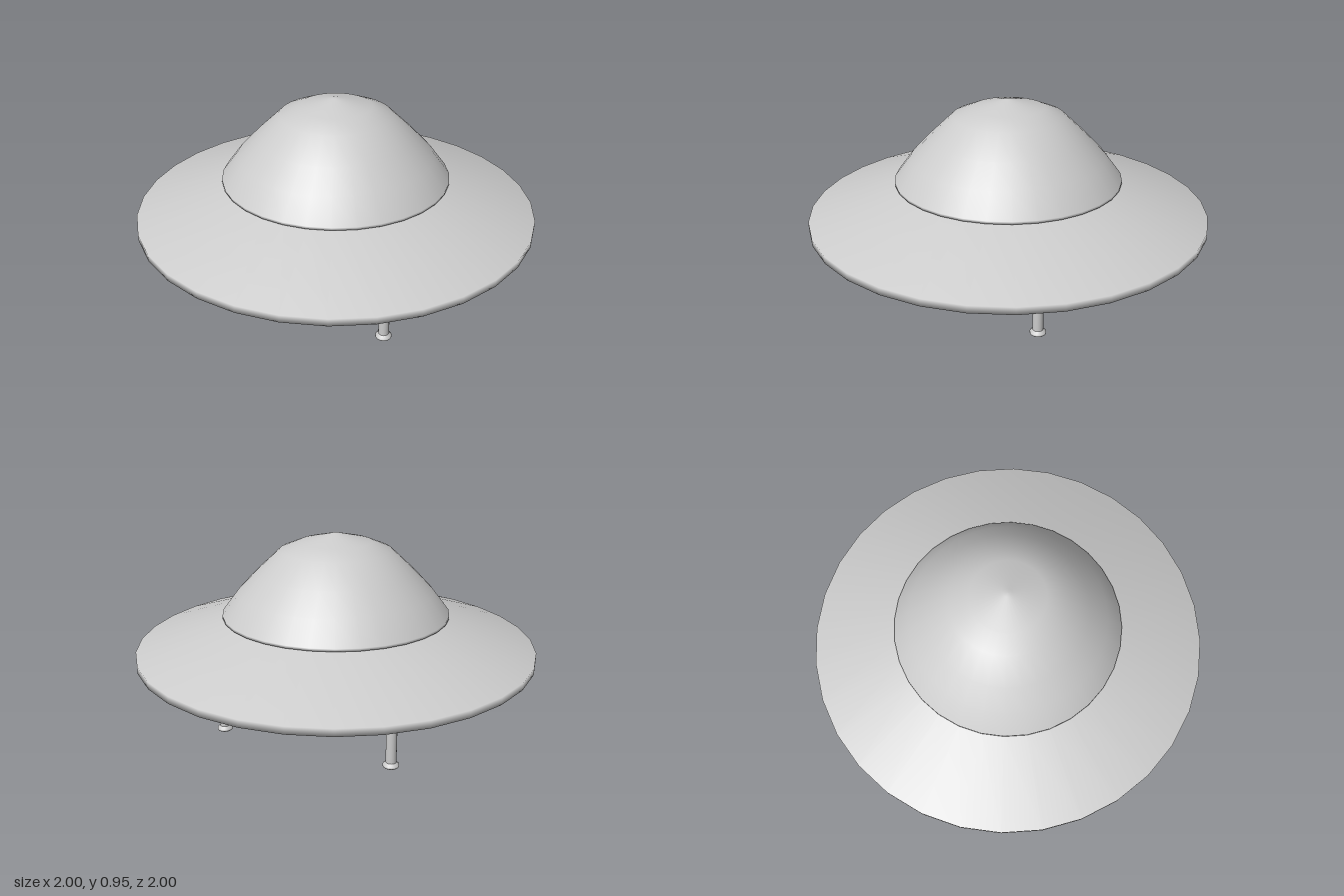
import * as THREE from 'three';

const SIDES = 32;
const points = (list) => list.map(([r, y]) => new THREE.Vector2(r, y));

export function createModel() {
  const group = new THREE.Group();
  group.name = 'flyingSaucer';
  const material = new THREE.MeshStandardMaterial({ color: 0xcccccc, side: THREE.DoubleSide });

  const add = (name, geometry, parent = group) => {
    const mesh = new THREE.Mesh(geometry, material);
    mesh.name = name;
    parent.add(mesh);
    return mesh;
  };

  // Saucer hull: flat belly, sloping underside, thin rim, sloping deck
  add('hull', new THREE.LatheGeometry(points([
    [0, 0.18], [0.505, 0.18], [1, 0.362], [1, 0.397], [0.56, 0.545],
  ]), SIDES));

  // Domed cabin with a short lip where it meets the deck
  add('dome', new THREE.LatheGeometry(points([
    [0.54, 0.545], [0.57, 0.547], [0.57, 0.56], [0.487, 0.668], [0.39, 0.768],
    [0.278, 0.873], [0.18, 0.913], [0.02, 0.952], [0, 0.953],
  ]), SIDES));

  // Leg: vertical post that bends inward into the underside (outward is local +x)
  const path = new THREE.CurvePath();
  const bottom = new THREE.Vector3(0, 0.015, 0);
  const bendStart = new THREE.Vector3(0, 0.175, 0);
  const bendEnd = new THREE.Vector3(-0.04, 0.222, 0);
  path.add(new THREE.LineCurve3(bottom, bendStart));
  path.add(new THREE.QuadraticBezierCurve3(bendStart, new THREE.Vector3(0, 0.21, 0), bendEnd));
  path.add(new THREE.LineCurve3(bendEnd, new THREE.Vector3(-0.1, 0.25, 0)));
  const post = new THREE.TubeGeometry(path, 20, 0.025, 16);

  // Foot: flared pad
  const foot = new THREE.LatheGeometry(points([
    [0, 0], [0.034, 0], [0.038, 0.004], [0.038, 0.012], [0.025, 0.024],
  ]), 16);

  const legs = [
    ['leftLeg', 0.6, 0, 0],
    ['rightLeg', -0.615, -0.015, Math.PI],
    ['frontLeg', -0.008, 0.65, -Math.PI / 2],
    ['backLeg', -0.008, -0.645, Math.PI / 2],
  ];
  for (const [name, x, z, turn] of legs) {
    const leg = new THREE.Group();
    leg.name = name;
    leg.position.set(x, 0, z);
    leg.rotation.y = turn;
    add('post', post, leg);
    add('foot', foot, leg);
    group.add(leg);
  }

  return group;
}
